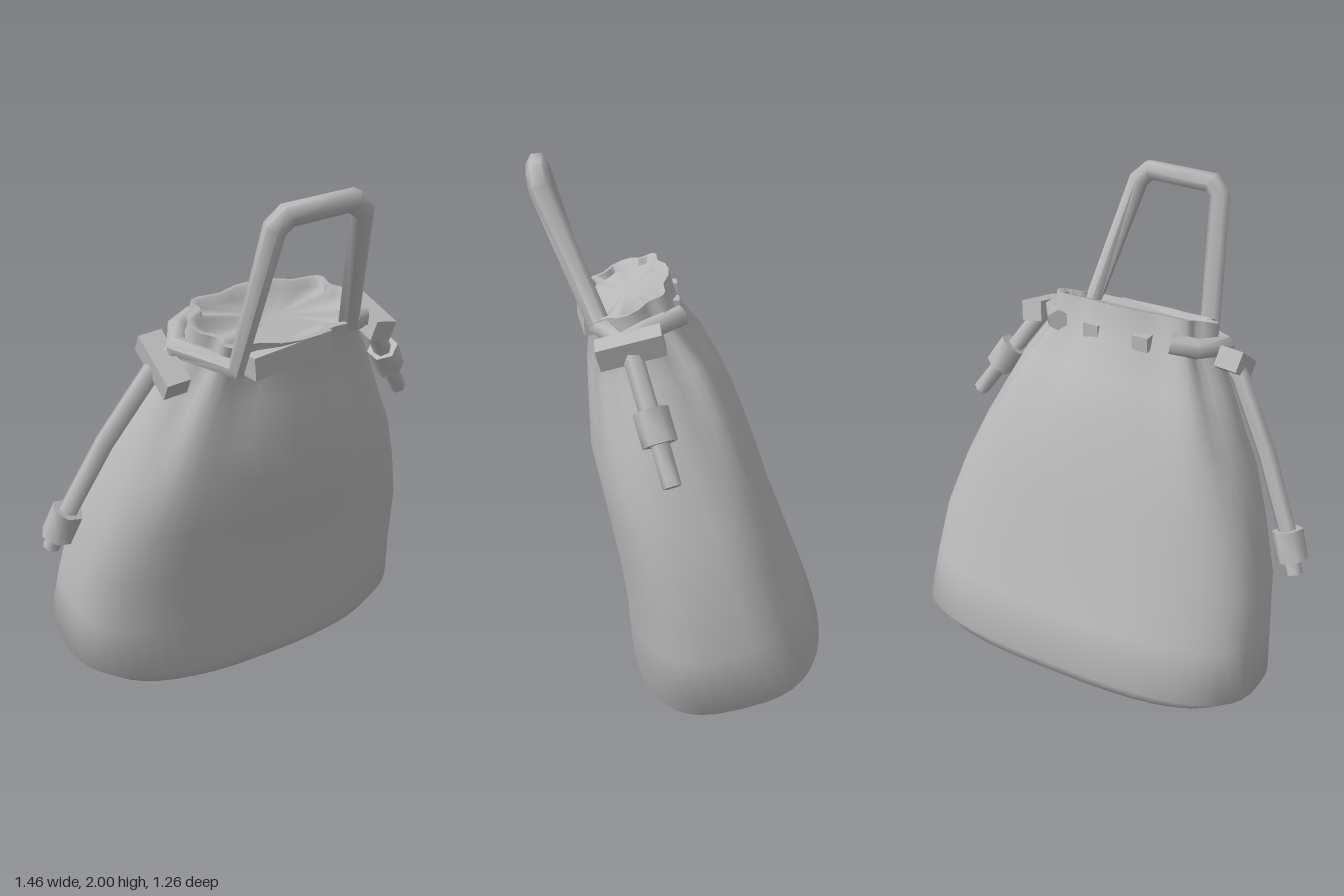
import * as THREE from 'three';
import { toCreasedNormals } from 'three/addons/utils/BufferGeometryUtils.js';

const grey = new THREE.MeshStandardMaterial({ color: 0xb8b8b8 });
grey.name = 'greyCloth';
const V = (p) => new THREE.Vector3(...p);

function add(parent, name, geometry) {
  const mesh = new THREE.Mesh(geometry, grey);
  mesh.name = name;
  parent.add(mesh);
  return mesh;
}

// Skin closed rings of equal length, capping both ends
function loft(rings, crease) {
  const n = rings[0].length, pos = [], idx = [];
  const put = (p) => pos.push(p.x, p.y, p.z);
  rings.forEach((r) => r.forEach(put));
  for (let i = 0; i < rings.length - 1; i++) {
    for (let j = 0; j < n; j++) {
      const k = (j + 1) % n, a = i * n + j, b = i * n + k;
      idx.push(a, b, a + n, b, b + n, a + n);
    }
  }
  [0, rings.length - 1].forEach((i, end) => {
    const c = new THREE.Vector3();
    rings[i].forEach((p) => c.addScaledVector(p, 1 / n));
    const ci = pos.length / 3;
    put(c);
    for (let j = 0; j < n; j++) {
      const a = i * n + j, b = i * n + (j + 1) % n;
      idx.push(ci, end ? a : b, end ? b : a);
    }
  });
  const g = new THREE.BufferGeometry();
  g.setAttribute('position', new THREE.Float32BufferAttribute(pos, 3));
  g.setIndex(idx);
  return toCreasedNormals(g, crease);
}

// Straight-sided cord with mitred corners
function cord(points, radius = 0.036, sides = 6) {
  const p = points.map(V);
  const up = new THREE.Vector3(0.3, 0.2, 1);
  const rings = p.map((c, i) => {
    const before = c.clone().sub(p[Math.max(i - 1, 0)]).normalize();
    const after = p[Math.min(i + 1, p.length - 1)].clone().sub(c).normalize();
    const t = before.add(after).normalize();
    up.addScaledVector(t, -up.dot(t)).normalize();
    const side = new THREE.Vector3().crossVectors(up, t);
    return Array.from({ length: sides }, (_, j) => {
      const a = -(j / sides) * Math.PI * 2;
      return c.clone().addScaledVector(up, Math.cos(a) * radius).addScaledVector(side, Math.sin(a) * radius);
    });
  });
  return loft(rings, 1.1);
}

// Block whose long axis runs from a to b, its depth facing the bag's front
function block(parent, name, a, b, width, depth) {
  const from = V(a), y = V(b).sub(from), length = y.length();
  y.normalize();
  const z = new THREE.Vector3(0.5, 0, 0.866);
  z.addScaledVector(y, -z.dot(y)).normalize();
  const x = new THREE.Vector3().crossVectors(y, z);
  const mesh = add(parent, name, new THREE.BoxGeometry(width, length, depth));
  mesh.position.copy(from).addScaledVector(y, length / 2);
  mesh.quaternion.setFromRotationMatrix(new THREE.Matrix4().makeBasis(x, y, z));
}

// Cloth ring: height, half width, half depth, depth offset, fold depth, rim slope
function clothRing([h, w, d, offset, fold, slope]) {
  const n = 48;
  return Array.from({ length: n }, (_, j) => {
    const a = -(j / n) * Math.PI * 2;
    const c = Math.cos(a), s = Math.sin(a), e = 0.7;
    const k = 1 + fold * Math.cos(a * 8);
    const z = Math.sign(s) * Math.abs(s) ** e * d * k;
    return new THREE.Vector3(Math.sign(c) * Math.abs(c) ** e * w * k, h - slope * z, z + offset);
  });
}

export function createModel() {
  const model = new THREE.Group();
  model.name = 'drawstringBag';

  // Sack, turned and leaning forward
  const sack = new THREE.Group();
  sack.name = 'sack';
  sack.rotation.order = 'YXZ';
  sack.rotation.set(0.21, Math.PI / 6, 0);
  sack.position.set(0.016, 0.065, -0.032);
  model.add(sack);
  const profile = [
    [0, 0.6, 0.33, -0.035, 0, 0], [0.03, 0.69, 0.362, -0.05, 0, 0], [0.085, 0.765, 0.382, -0.065, 0, 0],
    [0.3, 0.745, 0.35, -0.065, 0, 0], [0.52, 0.72, 0.325, -0.055, 0, 0],
    [0.75, 0.65, 0.31, -0.045, 0, 0], [0.95, 0.575, 0.295, -0.03, 0.01, 0],
    [1.1, 0.5, 0.26, -0.03, 0.025, 0], [1.25, 0.425, 0.22, -0.025, 0.04, 0],
    [1.38, 0.345, 0.165, -0.01, 0.055, 0], [1.49, 0.325, 0.163, 0, 0.07, 0.15],
    [1.49, 0.305, 0.145, 0, 0.07, 0.15], [1.465, 0.295, 0.135, 0, 0.06, 0.15],
  ];
  add(sack, 'body', loft(profile.map(clothRing), 1.2));

  // Carrying loop, running on around both sides of the neck
  add(model, 'handle', cord([
    [-0.12, 1.49, 0.2], [-0.18, 1.47, 0.28], [-0.18, 1.45, 0.41], [0.025, 1.4, 0.49],
    [0.14, 1.91, 0.59], [0.18, 1.95, 0.58], [0.4, 1.965, 0.44],
    [0.435, 1.92, 0.41], [0.435, 1.46, 0.2], [0.51, 1.43, 0.07], [0.44, 1.46, 0.02], [0.29, 1.48, -0.05],
  ], 0.041));

  // Cord showing between the eyelets
  block(model, 'frontCord', [0.07, 1.395, 0.465], [0.35, 1.425, 0.27], 0.085, 0.07);
  block(model, 'backCord', [-0.05, 1.47, 0.16], [0.01, 1.47, 0.13], 0.06, 0.06);
  block(model, 'backCord', [0.14, 1.47, 0.06], [0.2, 1.47, 0.03], 0.06, 0.06);

  // Side knots and hanging ends
  const ends = [
    { knot: [[-0.28, 1.455, 0.35], [-0.175, 1.33, 0.505]],
      string: [[-0.18, 1.44, 0.4], [-0.27, 1.36, 0.42], [-0.44, 1.1, 0.44], [-0.6, 0.8, 0.45]],
      bead: [[-0.585, 0.83, 0.45], [-0.635, 0.72, 0.445]], tail: [-0.66, 0.67, 0.44] },
    { knot: [[0.47, 1.455, -0.07], [0.575, 1.4, 0.13]],
      string: [[0.51, 1.43, 0.05], [0.55, 1.38, 0], [0.625, 1.21, -0.1]],
      bead: [[0.61, 1.25, -0.085], [0.65, 1.15, -0.14]], tail: [0.705, 1.03, -0.21] },
  ];
  ends.forEach(({ knot, string, bead, tail }) => {
    block(model, 'sideKnot', ...knot, 0.09, 0.08);
    add(model, 'hangingCord', cord(string));
    add(model, 'endKnot', cord(bead, 0.062));
    add(model, 'cordTail', cord([bead[1], tail], 0.033));
  });
  return model;
}
